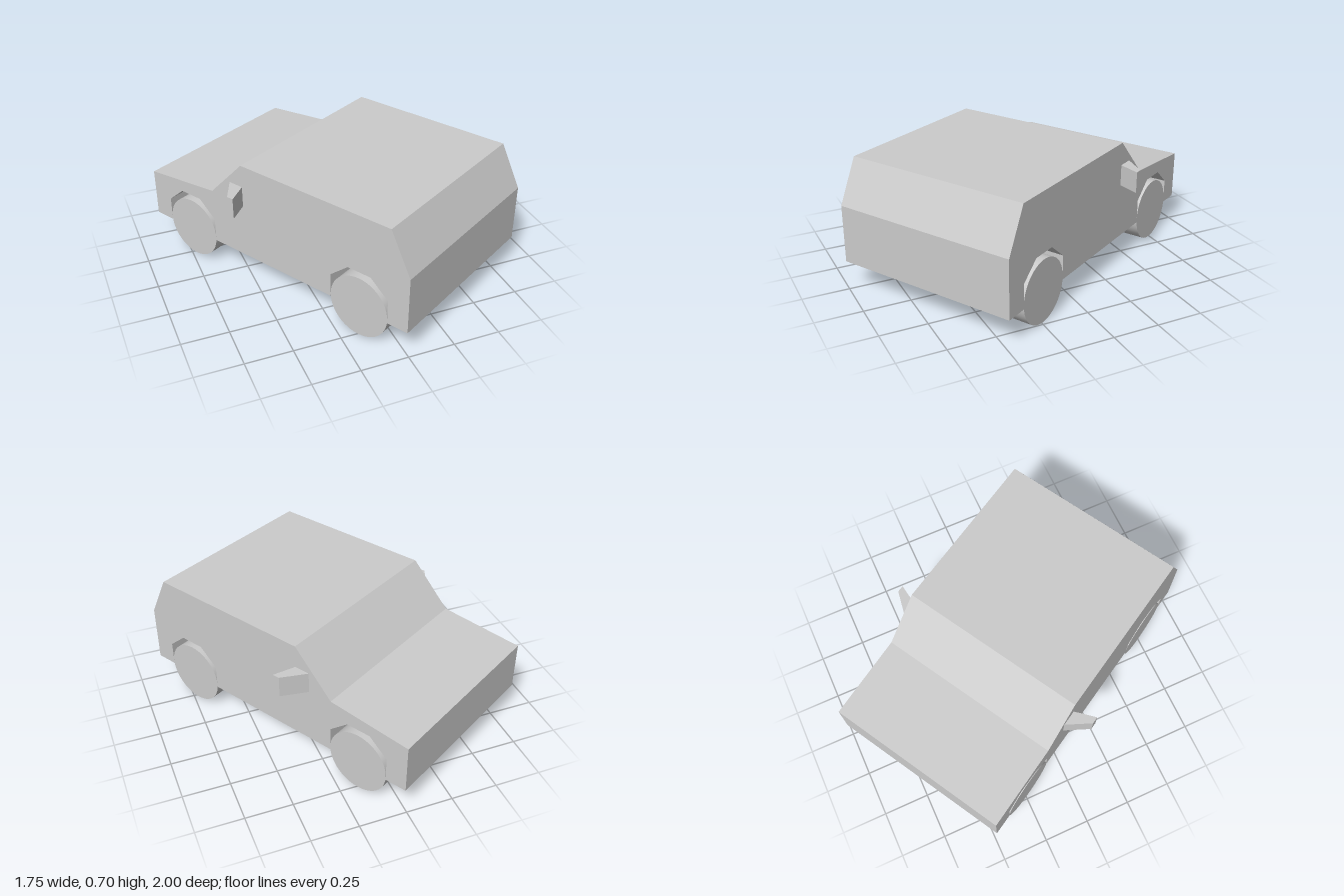
import * as THREE from 'three';

const material = new THREE.MeshStandardMaterial({ color: 0xcccccc });
const HALF_WIDTH = 0.513, AXLE_Z = 0.57, AXLE_Y = 0.172, WHEEL_R = 0.172, WHEEL_W = 0.133;

function addMesh(parent, name, geometry, x = 0, y = 0, z = 0) {
  const mesh = new THREE.Mesh(geometry, material);
  mesh.name = name;
  mesh.position.set(x, y, z);
  parent.add(mesh);
  return mesh;
}

const toShape = (points) => new THREE.Shape(points.map(([x, y]) => new THREE.Vector2(x, y)));

// Side profile (z, y), with a faceted wheel arch cut across the full width at each axle
function bodyGeometry() {
  const bottom = 0.155;
  const arch = (c) => [[-0.172, bottom], [-0.172, 0.29], [-0.068, 0.38], [0.068, 0.38], [0.172, 0.29], [0.172, bottom]]
    .map(([z, y]) => [c + z, y]);
  const profile = [
    [-0.86, bottom], ...arch(-AXLE_Z), ...arch(AXLE_Z), [0.86, bottom],
    [0.86, 0.425], [0.4, 0.47], [0.18, 0.7], [-0.745, 0.7], [-0.86, 0.47],
  ];
  return new THREE.ExtrudeGeometry(toShape(profile), { depth: HALF_WIDTH * 2, bevelEnabled: false })
    .translate(0, 0, -HALF_WIDTH)
    .rotateY(-Math.PI / 2);
}

// Swept-back mirror housing; plan outline is (x, -z), extruded upwards
function mirrorGeometry(side) {
  const plan = [[0.505, 0.27], [0.628, 0.172], [0.628, 0.134], [0.505, 0.181]];
  return new THREE.ExtrudeGeometry(toShape(plan.map(([x, z]) => [side * x, -z])), { depth: 0.115, bevelEnabled: false })
    .rotateX(-Math.PI / 2)
    .translate(0, 0.46, 0);
}

export function createModel() {
  const model = new THREE.Group();
  model.name = 'van';
  const car = new THREE.Group();
  car.name = 'vehicle';
  model.add(car);

  addMesh(car, 'body', bodyGeometry());

  // Central shaft joining the two axle beams
  addMesh(car, 'driveShaft', new THREE.BoxGeometry(0.132, 0.125, AXLE_Z * 2 - 0.132), 0, AXLE_Y, 0);

  const wheel = new THREE.CylinderGeometry(WHEEL_R, WHEEL_R, WHEEL_W, 48).rotateZ(Math.PI / 2);
  const axle = new THREE.BoxGeometry((HALF_WIDTH - WHEEL_W) * 2, 0.125, 0.132);
  for (const [end, z] of [['front', AXLE_Z], ['rear', -AXLE_Z]]) {
    addMesh(car, `${end}Axle`, axle, 0, AXLE_Y, z);
    for (const [sideName, side] of [['Left', 1], ['Right', -1]]) {
      addMesh(car, `${end}${sideName}Wheel`, wheel, side * (HALF_WIDTH - WHEEL_W / 2), AXLE_Y, z);
    }
  }

  for (const [sideName, side] of [['left', 1], ['right', -1]]) {
    addMesh(car, `${sideName}Mirror`, mirrorGeometry(side));
  }

  // The vehicle stands turned, with its nose towards the back left
  car.rotation.y = THREE.MathUtils.degToRad(210);
  return model;
}
